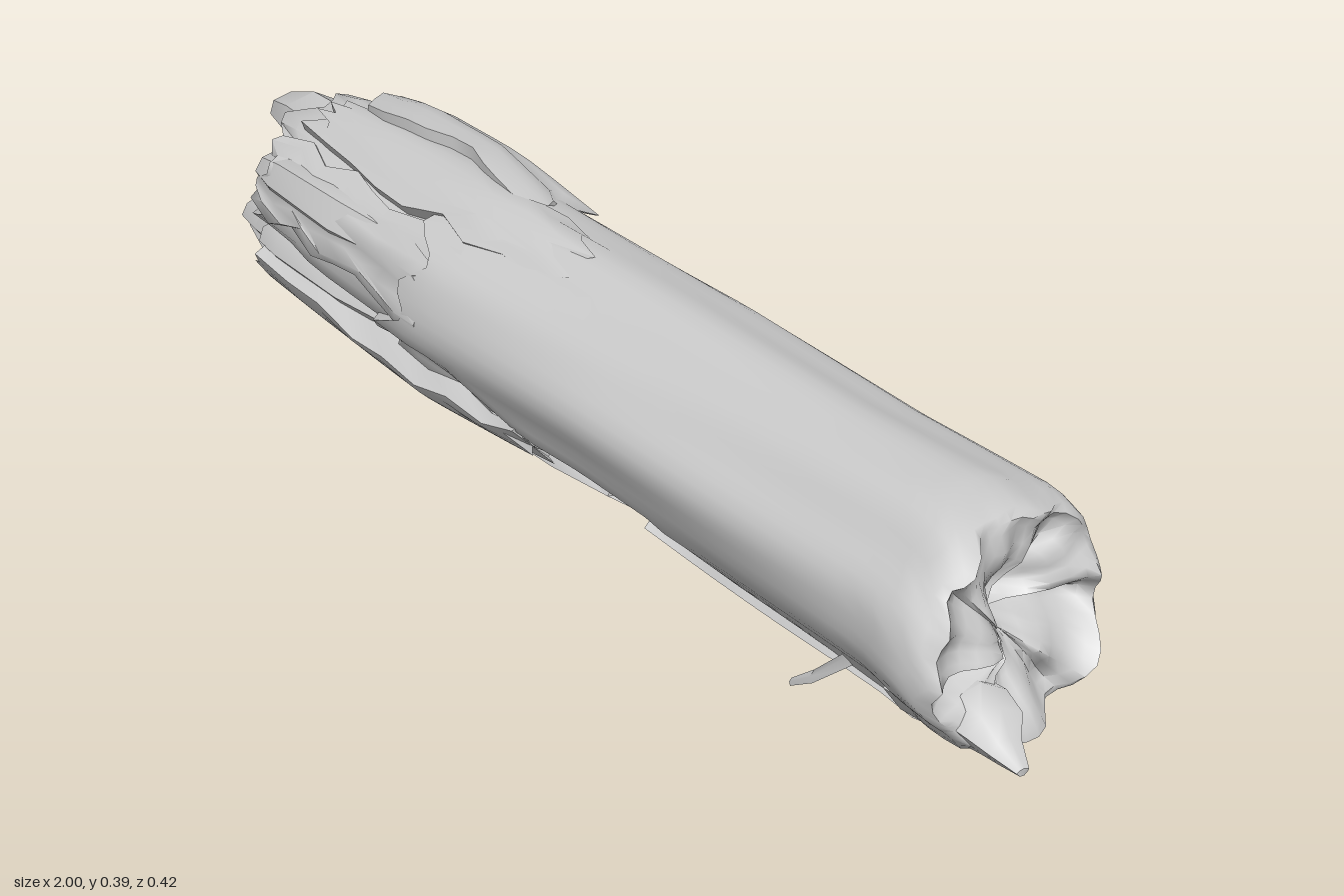
import * as THREE from 'three';
import { toCreasedNormals } from 'three/addons/utils/BufferGeometryUtils.js';

const rad = THREE.MathUtils.degToRad, lerp = THREE.MathUtils.lerp, smooth = THREE.MathUtils.smoothstep;
const hash = (n) => { const s = Math.sin(n * 127.1 + 3.7) * 43758.5453; return (s - Math.floor(s)) * 2 - 1; };

// Trunk envelope: x, top y, bottom y, back z, front z
const HULL = [
  [-1, 0.29, 0.085, -0.14, 0.07], [-0.82, 0.36, 0.07, -0.16, 0.155],
  [-0.4, 0.37, 0.045, -0.18, 0.185], [0, 0.367, 0.06, -0.2, 0.19],
  [0.4, 0.366, 0.035, -0.2, 0.19], [0.7, 0.37, 0.015, -0.217, 0.192],
  [0.8, 0.355, 0.008, -0.2, 0.205], [0.9, 0.28, 0.025, -0.15, 0.2],
];

// Point on the envelope at angle a (0 = front, 90 = up), moved outward by off
function hullPoint(x, a, off = 0, scale = 1) {
  let i = 0;
  while (i < HULL.length - 2 && x > HULL[i + 1][0]) i++;
  const t = THREE.MathUtils.clamp((x - HULL[i][0]) / (HULL[i + 1][0] - HULL[i][0]), 0, 1);
  const [, top, bot, back, front] = HULL[i].map((v, k) => lerp(v, HULL[i + 1][k], t));
  const bump = 0.005 * Math.sin(5 * a + 2 * x) + 0.003 * Math.sin(9 * a - 3 * x);
  const ry = (top - bot) / 2 * scale + off + bump, rz = (front - back) / 2 * scale + off + bump;
  return new THREE.Vector3(x, (top + bot) / 2 + ry * Math.sin(a), (front + back) / 2 + rz * Math.cos(a));
}

// Stripped hollow below a bark edge that slants down along the lower front
function hollow(x, a) {
  const deg = THREE.MathUtils.radToDeg(a) - 360;
  const edge = lerp(-8, -50, THREE.MathUtils.clamp((x + 0.45) / 1, 0, 1)) + 4 * Math.sin(14 * x);
  return -0.026 * smooth(edge - deg, 0, 9) * smooth(deg, -118, -90) * (1 - smooth(x, 0.45, 0.62));
}

// Skin a list of closed rings (running toward +x) and cap both ends
function loft(rings, crease = 45) {
  const n = rings[0].length, pos = [], idx = [];
  rings.forEach((r) => r.forEach((p) => pos.push(p.x, p.y, p.z)));
  for (let i = 0; i < rings.length - 1; i++) {
    for (let j = 0; j < n; j++) {
      const a = i * n + j, b = i * n + (j + 1) % n;
      idx.push(a, a + n, b, b, a + n, b + n);
    }
  }
  [0, rings.length - 1].forEach((r, end) => {
    const c = rings[r].reduce((s, p) => s.add(p), new THREE.Vector3()).divideScalar(n);
    const k = pos.length / 3;
    pos.push(c.x, c.y, c.z);
    for (let j = 0; j < n; j++) {
      const a = r * n + j, b = r * n + (j + 1) % n;
      idx.push(k, end ? b : a, end ? a : b);
    }
  });
  const g = new THREE.BufferGeometry();
  g.setAttribute('position', new THREE.Float32BufferAttribute(pos, 3));
  g.setIndex(idx);
  return toCreasedNormals(g, rad(crease));
}

// Full round length of timber with lumpy, broken ends
function timber(leftX, rightX, scale, lump, segs, rows) {
  const ring = (t, s, dx) => Array.from({ length: segs }, (_, j) => {
    const a = j / segs * Math.PI * 2;
    const x = lerp(leftX(a), rightX(a), t);
    const p = hullPoint(x, a, hollow(x, a) * s, scale * s);
    if (s < 0.99) p.x += dx + lump * Math.sin(38 * p.y + 9 * p.z) * Math.cos(34 * p.z - 12 * p.y + 0.6);
    return p;
  });
  const rings = [0.15, 0.35, 0.55, 0.75, 0.9].map((s) => ring(0, s, 0.02 * (1 - s)));
  for (let i = 0; i <= rows; i++) rings.push(ring(i / rows, 1, 0));
  [0.94, 0.85, 0.7, 0.55, 0.4, 0.25, 0.1].forEach((s, i) => rings.push(ring(1, s, 0.018 - 0.008 * i)));
  return loft(rings, 62);
}

// Curved slab of bark lying on the trunk, with torn ends
function slab(a0, a1, x0, x1, off, thick, seed, jag = 0.06) {
  const n = 9, rows = 8, rings = [];
  for (let i = 0; i <= rows; i++) {
    const t = i / rows, ring = [];
    const taper = Math.min(1, 0.55 + 2.5 * t, 0.3 + 2 * (1 - t));
    for (let k = 0; k < 2 * n; k++) {
      const outer = k < n, j = outer ? k : 2 * n - 1 - k, u = j / (n - 1);
      const a = rad(lerp(a0, a1, u) + 10 * hash(seed + i) * (u - 0.5));
      const x = lerp(x0 + jag * (0.5 + 0.5 * hash(seed + j * 3)), x1 + jag * hash(seed + 40 + j), t);
      const lift = off * taper + 0.005 * hash(seed + j * 7);
      ring.push(hullPoint(x, a, outer ? lift : lift - thick * taper));
    }
    rings.push(ring);
  }
  return loft(rings, 55);
}

// Tapering shard: rows of [x, y, z, half height, half depth]
function shard(rows, seed, sides = 7) {
  return loft(rows.map(([x, y, z, ry, rz]) => Array.from({ length: sides }, (_, j) => {
    const a = j / sides * Math.PI * 2, r = 1 + 0.2 * hash(seed + j);
    return new THREE.Vector3(x + 0.3 * ry * hash(seed + j * 5), y + ry * r * Math.sin(a), z + rz * r * Math.cos(a));
  })));
}

export function createModel() {
  const log = new THREE.Group();
  log.name = 'brokenLog';
  const mat = new THREE.MeshStandardMaterial({ color: 0xcccccc, side: THREE.DoubleSide });
  const add = (name, geo) => {
    const m = new THREE.Mesh(geo, mat);
    m.name = name;
    log.add(m);
  };

  // Main trunk with bark, and the bare wood at the broken left end
  add('trunk', timber(
    (a) => -0.45 + 0.04 * Math.sin(3 * a) + 0.025 * Math.sin(11 * a),
    (a) => 0.815 + 0.05 * Math.cos(a) - 0.025 * Math.sin(a) + 0.012 * Math.sin(7 * a) + 0.008 * Math.sin(13 * a),
    1, 0.022, 56, 30));
  add('innerWood', timber(
    (a) => -0.86 + 0.05 * Math.cos(a) + 0.03 * Math.sin(4 * a) + 0.025 * Math.sin(9 * a),
    () => -0.3, 0.9, 0.03, 40, 10));

  // Bark slabs: start angle, end angle, left x, right x, lift, thickness
  [
    ['topBark', 97, 142, -0.79, -0.38, 0.026, 0.045],
    ['crownBark', 62, 102, -0.81, -0.2, 0.01, 0.04],
    ['frontUpperBark', 5, 58, -0.84, -0.4, -0.006, 0.05],
    ['backBark', 145, 205, -0.97, -0.35, 0.003, 0.05],
    ['lowerBackBark', 202, 258, -0.96, -0.1, 0.004, 0.05],
    ['lowerLeftBark', 255, 302, -0.98, 0, 0.008, 0.05],
    ['lowerFrontBark', 300, 332, -0.83, -0.15, 0.002, 0.04],
    ['lowerRightBark', 245, 312, 0.1, 0.8, 0.008, 0.05],
  ].forEach(([name, a0, a1, x0, x1, off, th], i) => add(name, slab(a0, a1, x0, x1, off, th, 11 + i * 17)));

  // Splinters reaching out of the left break: tip x, y, z, half height, half depth
  [
    [-0.995, 0.245, -0.06, 0.04, 0.055], [-0.96, 0.215, -0.1, 0.045, 0.035],
    [-0.97, 0.15, -0.03, 0.045, 0.06], [-0.96, 0.12, 0.025, 0.035, 0.045],
    [-0.83, 0.28, 0.1, 0.035, 0.045], [-0.92, 0.22, 0.01, 0.045, 0.05],
    [-0.83, 0.16, 0.1, 0.04, 0.035],
  ].forEach(([x, y, z, h, d], i) => add('leftSplinter', shard([
    [x, y, z, h * 0.6, d * 0.6], [x + 0.05, y + 0.004, z, h * 0.95, d * 0.95],
    [x + 0.2, y, z * 0.95, h * 1.2, d * 1.2], [x + 0.42, y, z * 0.85, h, d],
  ], i * 13)));

  // Pointed shard at the right break
  add('rightShard', shard([
    [0.72, 0.095, 0.1, 0.055, 0.06], [0.86, 0.1, 0.1, 0.055, 0.06],
    [0.91, 0.09, 0.1, 0.042, 0.052], [0.95, 0.075, 0.11, 0.024, 0.03], [0.998, 0.06, 0.115, 0.007, 0.012],
  ], 4));

  // Small twig on the lower front
  add('twig', shard([
    [0.56, 0.052, 0.206, 0.007, 0.004], [0.59, 0.068, 0.185, 0.012, 0.009], [0.61, 0.09, 0.13, 0.016, 0.014],
  ], 8, 5));

  // Rest on the ground, centred
  const box = new THREE.Box3().setFromObject(log), c = box.getCenter(new THREE.Vector3());
  log.children.forEach((m) => m.geometry.translate(-c.x, -box.min.y, -c.z));
  return log;
}
